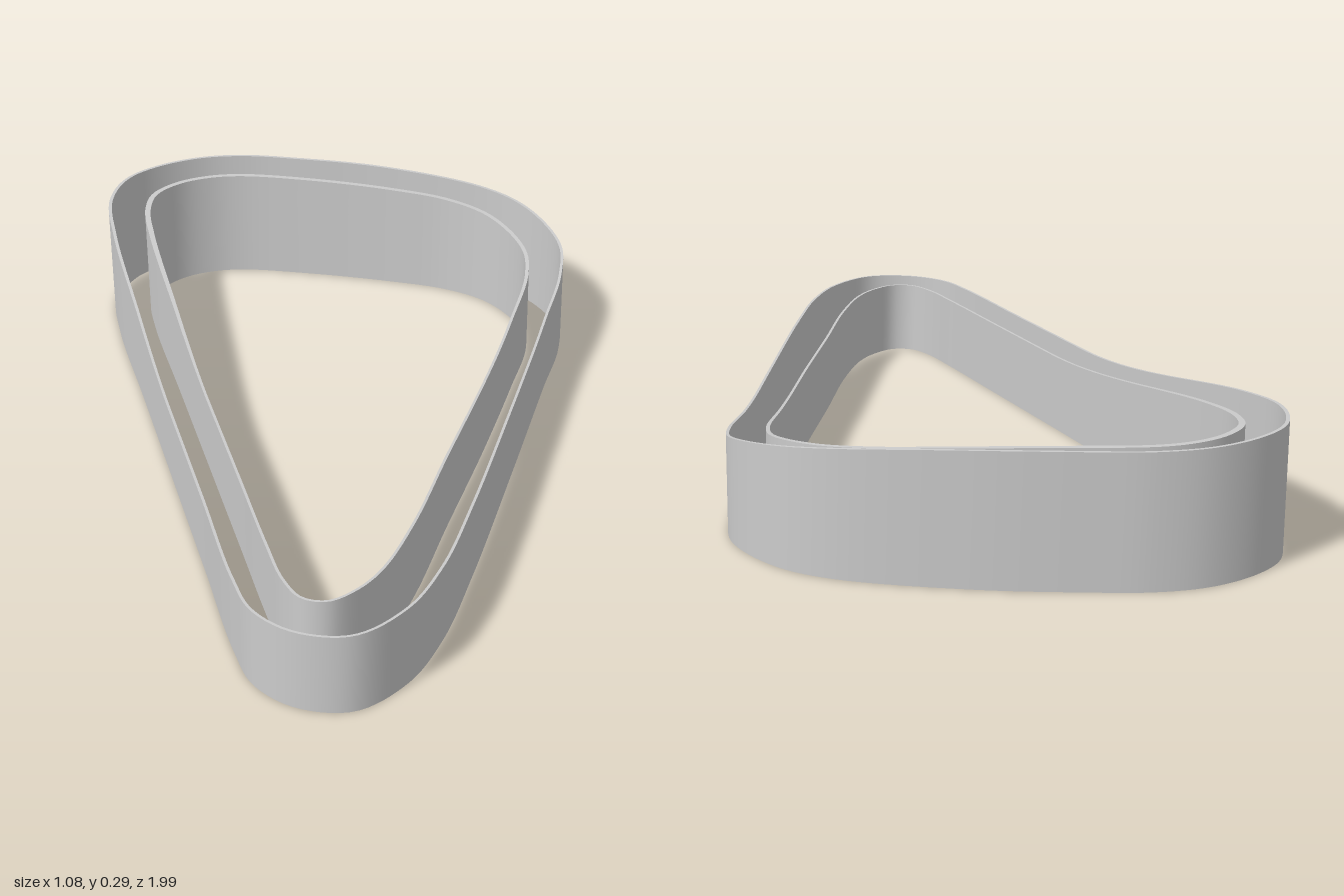
import * as THREE from 'three';

// Outlines as [x, z], running from the left side around the back
const OUTER = [
  [-0.54, 0.1], [-0.54, -0.3], [-0.54, -0.635], [-0.52, -0.81], [-0.455, -0.925], [-0.365, -0.978],
  [-0.243, -1], [-0.127, -0.98], [0, -0.925], [0.2, -0.82], [0.43, -0.655], [0.508, -0.545],
  [0.54, -0.38], [0.5, -0.255], [0.4, -0.08], [0.2, 0.275], [0, 0.624], [-0.127, 0.825],
  [-0.233, 0.94], [-0.355, 0.995], [-0.46, 0.955], [-0.525, 0.865], [-0.54, 0.75], [-0.54, 0.45],
];
const INNER = [
  [-0.45, 0.1], [-0.45, -0.3], [-0.45, -0.635], [-0.437, -0.77], [-0.402, -0.85], [-0.328, -0.9],
  [-0.243, -0.915], [-0.16, -0.903], [0, -0.835], [0.2, -0.73], [0.33, -0.645], [0.413, -0.545],
  [0.45, -0.39], [0.423, -0.28], [0.323, -0.1], [0.17, 0.16], [0, 0.434], [-0.138, 0.66],
  [-0.243, 0.8], [-0.31, 0.853], [-0.375, 0.875], [-0.423, 0.85], [-0.445, 0.78], [-0.45, 0.65], [-0.45, 0.4],
];

// 0 along the low front, easing to 1 at the back
const rise = (z) => THREE.MathUtils.smoothstep(-z, -0.08, 0.9);

// Thin closed wall following an outline, with a top edge that rises to the back
function wall(name, outline, backHeight, frontThickness, backThickness) {
  const n = 260;
  const curve = new THREE.CatmullRomCurve3(outline.map(([x, z]) => new THREE.Vector3(x, 0, z)), true);
  curve.arcLengthDivisions = 800;
  const sections = [];
  for (let i = 0; i < n; i++) {
    const p = curve.getPointAt(i / n);
    const t = curve.getTangentAt(i / n);
    const r = rise(p.z);
    const h = THREE.MathUtils.lerp(0.18, backHeight, r);
    const w = THREE.MathUtils.lerp(frontThickness, backThickness, r);
    const ix = p.x - t.z * w, iz = p.z + t.x * w;
    sections.push([[p.x, 0, p.z], [p.x, h, p.z], [ix, h, iz], [ix, 0, iz]]);
  }
  // Each side has its own vertices so the rims stay sharp
  const positions = [], index = [];
  for (let k = 0; k < 4; k++) {
    const base = k * n * 2;
    sections.forEach((s, i) => {
      positions.push(...s[k], ...s[(k + 1) % 4]);
      const a = base + i * 2, b = base + ((i + 1) % n) * 2;
      index.push(a, a + 1, b, b, a + 1, b + 1);
    });
  }
  const geometry = new THREE.BufferGeometry();
  geometry.setAttribute('position', new THREE.Float32BufferAttribute(positions, 3));
  geometry.setIndex(index);
  geometry.computeVertexNormals();
  const mesh = new THREE.Mesh(geometry, new THREE.MeshStandardMaterial({ color: 0xcccccc, side: THREE.DoubleSide }));
  mesh.name = name;
  return mesh;
}

export function createModel() {
  const group = new THREE.Group();
  group.name = 'triangularFrame';
  group.add(wall('outerWall', OUTER, 0.29, 0.006, 0.008));
  group.add(wall('innerWall', INNER, 0.273, 0.006, 0.014));
  return group;
}
